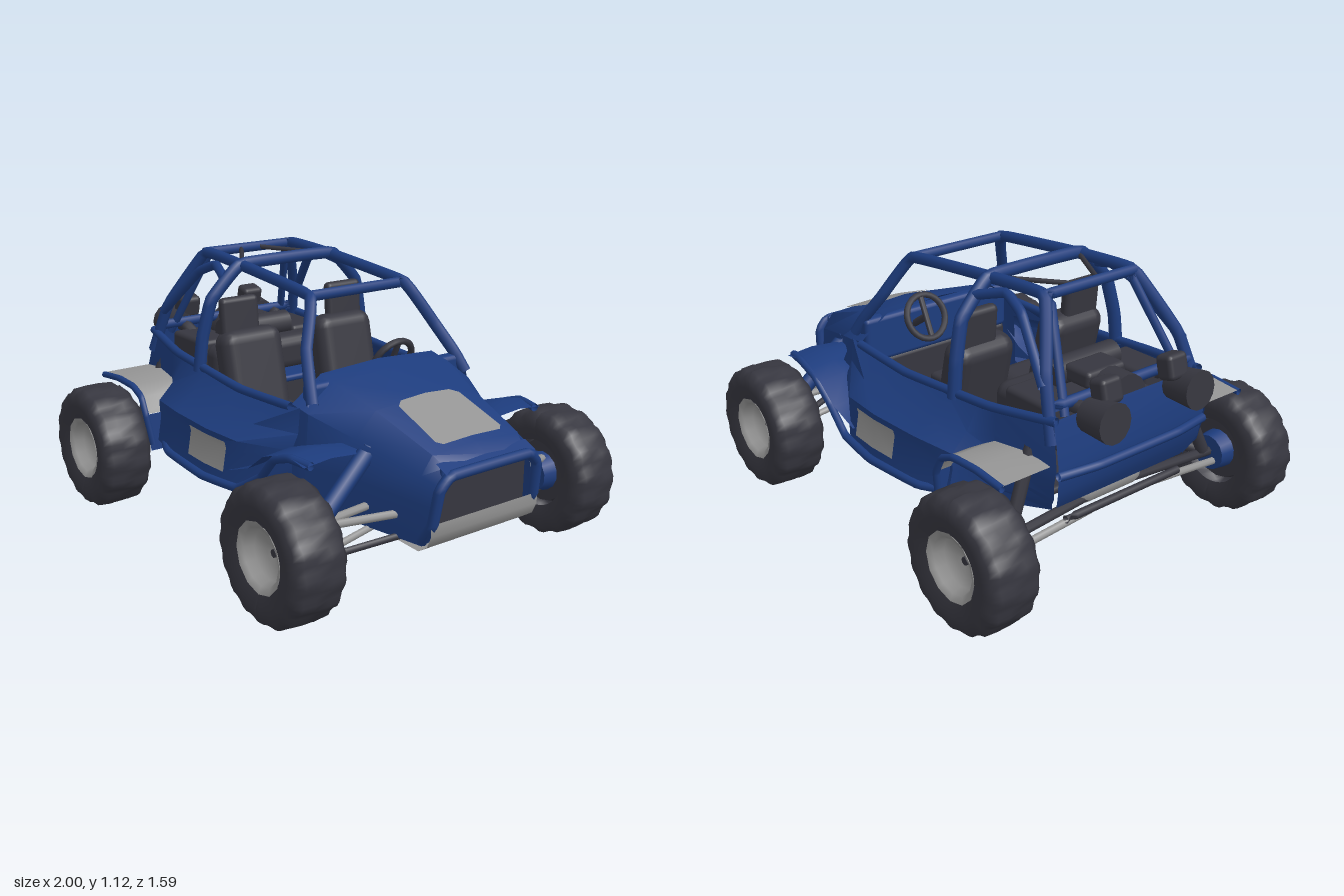
import * as THREE from 'three';
import { toCreasedNormals } from 'three/addons/utils/BufferGeometryUtils.js';
import { RoundedBoxGeometry } from 'three/addons/geometries/RoundedBoxGeometry.js';

const paint = (name, color) => new THREE.MeshStandardMaterial({ name, color, side: THREE.DoubleSide });

export function createModel() {
  const blue = paint('blue paint', 0x1d3c7d);
  const dark = paint('dark rubber', 0x36363f);
  const grey = paint('grey metal', 0x949494);
  const slate = paint('slate underside', 0x405a72);
  const buggy = new THREE.Group();
  buggy.name = 'buggy';
  const V = (p) => new THREE.Vector3(...p);
  const V2 = (p) => new THREE.Vector2(...p);

  function add(name, geometry, material, pos = [0, 0, 0], rot = [0, 0, 0], parent = buggy) {
    const mesh = new THREE.Mesh(geometry, material);
    mesh.name = name;
    mesh.position.set(...pos);
    mesh.rotation.set(...rot);
    parent.add(mesh);
    return mesh;
  }
  const box = (name, size, pos, material, rot, r = 0.02) =>
    add(name, new RoundedBoxGeometry(...size, 2, Math.min(r, Math.min(...size) * 0.45)), material, pos, rot);

  // pipe through points with tight bends
  function pipe(name, points, r, material) {
    const curve = new THREE.CatmullRomCurve3(points.map(V), false, 'catmullrom', 0.12);
    return add(name, new THREE.TubeGeometry(curve, points.length * 6, r, 8), material);
  }

  // skin over cross-sections, each a list of [x, y, z]
  function loft(name, sections, material, crease = 0.7) {
    const n = sections[0].length, index = [];
    for (let i = 0; i < sections.length - 1; i++)
      for (let j = 0; j < n - 1; j++) {
        const a = i * n + j, b = a + n;
        index.push(a, b, a + 1, b, b + 1, a + 1);
      }
    const g = new THREE.BufferGeometry();
    g.setAttribute('position', new THREE.Float32BufferAttribute(sections.flat(2), 3));
    g.setIndex(index);
    g.computeVertexNormals();
    return add(name, toCreasedNormals(g, crease), material);
  }

  // floor pan, narrowing to the nose
  const pan = new THREE.Shape([[-0.5, 0.45], [0.4, 0.45], [0.6, 0.33], [0.6, -0.33], [0.4, -0.45], [-0.5, -0.45]].map(V2));
  add('floorPan', new THREE.ExtrudeGeometry(pan, { depth: 0.02, bevelEnabled: false }), slate, [0, 0.288, 0], [Math.PI / 2, -0.022, 0]);
  box('cabinFloor', [0.84, 0.02, 0.86], [-0.05, 0.315, 0], dark);
  box('centreTunnel', [0.75, 0.12, 0.12], [-0.02, 0.38, 0], dark);
  box('footWell', [0.04, 0.26, 0.78], [0.39, 0.43, 0], dark);
  box('dashboard', [0.06, 0.2, 0.76], [0.38, 0.66, 0], blue);
  box('cabinBackWall', [0.03, 0.32, 0.82], [-0.46, 0.47, 0], dark);
  box('rearShelf', [0.14, 0.03, 0.34], [-0.34, 0.56, 0], blue);
  box('engineTray', [0.3, 0.03, 0.76], [-0.63, 0.43, 0], dark);

  // hood and nose
  const hood = [
    [0.34, [[0.79, 0], [0.775, 0.28], [0.68, 0.415], [0.45, 0.43], [0.28, 0.43]]],
    [0.43, [[0.775, 0], [0.755, 0.28], [0.66, 0.405], [0.45, 0.42], [0.27, 0.42]]],
    [0.62, [[0.708, 0], [0.692, 0.24], [0.6, 0.33], [0.45, 0.34], [0.27, 0.32]]],
    [0.9, [[0.606, 0], [0.596, 0.21], [0.53, 0.26], [0.42, 0.26], [0.26, 0.25]]],
    [0.95, [[0.572, 0], [0.56, 0.19], [0.5, 0.23], [0.42, 0.24], [0.3, 0.24]]],
  ];
  loft('hood', hood.map(([x, half]) => [
    ...half.slice(1).reverse().map(([y, z]) => [x, y, -z]),
    ...half.map(([y, z]) => [x, y, z])]), blue);
  loft('hoodPanel', [[0.62, 0.717, 0.709, 0.12], [0.645, 0.708, 0.699, 0.15], [0.86, 0.63, 0.623, 0.16], [0.88, 0.622, 0.617, 0.14]]
    .map(([x, c, e, z]) => [[x, e, -z], [x, c, 0], [x, e, z]]), grey);
  loft('noseBridge', [[0.93, 0.575], [0.985, 0.55]].map(([x, y]) => [[x, y, -0.22], [x, y, 0.22]]), blue);
  box('noseFascia', [0.02, 0.06, 0.42], [0.945, 0.535, 0], blue);
  box('grilleRecess', [0.02, 0.22, 0.46], [0.92, 0.42, 0], dark);
  loft('skidPlate', [[0.965, 0.365], [0.965, 0.32], [0.945, 0.275], [0.9, 0.245], [0.75, 0.25], [0.56, 0.272]].map(([x, y]) =>
    [[x, y, -0.265], [x, y, 0.265]]), grey, 1.2);
  pipe('frontBumper', [[0.9, 0.28, -0.25], [0.955, 0.36, -0.25], [0.975, 0.49, -0.24], [0.98, 0.54, -0.19],
    [0.98, 0.54, 0.19], [0.975, 0.49, 0.24], [0.955, 0.36, 0.25], [0.9, 0.28, 0.25]], 0.021, blue);

  // tail
  loft('tailPanel', [[-0.8, 0.73, 0.37], [-0.84, 0.56, 0.38], [-0.83, 0.45, 0.37], [-0.78, 0.36, 0.33]]
    .map(([x, y, z]) => [[x, y, -z], [x, y, z]]), blue);
  pipe('tailRail', [[-0.84, 0.53, -0.38], [-0.865, 0.53, -0.2], [-0.865, 0.53, 0.2], [-0.84, 0.53, 0.38]], 0.018, blue);

  // sections of one body side: x, then [y, z] points from sill top to floor
  const side = [
    [[-0.8, 0.73, 0.37], [-0.84, 0.56, 0.39], [-0.83, 0.5, 0.39], [-0.82, 0.43, 0.38], [-0.8, 0.4, 0.37], [-0.78, 0.36, 0.35]],
    [[-0.55, 0.7, 0.42], [-0.55, 0.6, 0.43], [-0.55, 0.53, 0.43], [-0.55, 0.46, 0.43], [-0.55, 0.38, 0.43], [-0.55, 0.32, 0.42]],
    [[-0.45, 0.69, 0.425], [-0.45, 0.59, 0.48], [-0.45, 0.52, 0.55], [-0.45, 0.45, 0.55], [-0.45, 0.35, 0.57], [-0.45, 0.29, 0.45]],
    [[-0.25, 0.68, 0.43], [-0.25, 0.59, 0.5], [-0.25, 0.525, 0.58], [-0.25, 0.48, 0.575], [-0.25, 0.35, 0.6], [-0.25, 0.285, 0.46]],
    [[0, 0.66, 0.43], [0, 0.58, 0.51], [0, 0.525, 0.59], [0, 0.48, 0.58], [0, 0.34, 0.605], [0, 0.28, 0.46]],
    [[0.2, 0.65, 0.43], [0.2, 0.58, 0.5], [0.2, 0.525, 0.575], [0.2, 0.48, 0.57], [0.2, 0.35, 0.58], [0.2, 0.27, 0.46]],
    [[0.4, 0.68, 0.42], [0.4, 0.58, 0.43], [0.4, 0.52, 0.46], [0.4, 0.47, 0.46], [0.4, 0.36, 0.46], [0.4, 0.265, 0.45]],
  ];

  // tyre with blocky tread, turned about z
  const tyre = new THREE.LatheGeometry([[0.14, -0.095], [0.19, -0.112], [0.235, -0.107], [0.258, -0.08], [0.262, -0.03],
    [0.262, 0.03], [0.258, 0.08], [0.235, 0.107], [0.19, 0.112], [0.13, 0.095]].map(V2), 64);
  const tp = tyre.attributes.position;
  for (let i = 0; i < tp.count; i++) {
    const x = tp.getX(i), y = tp.getY(i), z = tp.getZ(i), r = Math.hypot(x, z);
    if (r < 0.22) continue;
    const k = 1 + 0.018 * Math.sign(Math.sin(Math.atan2(z, x) * 16 + 0.1 + y * 16));
    tp.setXYZ(i, x * k, y, z * k);
  }
  tyre.computeVertexNormals();
  const rim = new THREE.LatheGeometry([[0, 0.02], [0.05, 0.03], [0.098, 0.05], [0.11, 0.088], [0.137, 0.1]].map(V2), 12);

  for (const s of [1, -1]) {
    const m = (pts) => pts.map(([x, y, z]) => [x, y, z * s]);
    const tag = s > 0 ? 'Near' : 'Far';

    // wheels
    for (const [end, x] of [['rear', -0.735], ['front', 0.655]]) {
      const wheel = new THREE.Group();
      wheel.name = end + 'Wheel' + tag;
      wheel.position.set(x, 0.272, 0.685 * s);
      wheel.rotation.x = s * Math.PI / 2;
      buggy.add(wheel);
      add('tyre', tyre, dark, undefined, undefined, wheel);
      add('rim', rim, grey, undefined, undefined, wheel);
      add('hub', new THREE.CylinderGeometry(0.016, 0.016, 0.03, 8), dark, [0, 0.02, 0], undefined, wheel);
      add('innerRim', new THREE.CylinderGeometry(0.14, 0.13, 0.03, 16), dark, [0, -0.04, 0], undefined, wheel);
      add('brakeDrum', new THREE.CylinderGeometry(0.085, 0.075, 0.08, 14), blue, [0, -0.08, 0], undefined, wheel);
    }

    // body sides, grey side plate, sill tubes
    loft('bodySide' + tag, side.map(m), blue);
    loft('sidePlate' + tag, [[-0.13, 0.584, 0.601], [0, 0.588, 0.606], [0.13, 0.58, 0.597]]
      .map(([x, a, b]) => m([[x, 0.505, a + 0.006], [x, 0.48, a], [x, 0.385, b]])), grey);
    pipe('sillTube' + tag, m([[-0.48, 0.36, 0.52], [-0.3, 0.345, 0.6], [0, 0.335, 0.615], [0.22, 0.345, 0.59],
      [0.36, 0.43, 0.57], [0.46, 0.53, 0.58], [0.56, 0.565, 0.58], [0.66, 0.56, 0.56]]), 0.017, blue);
    pipe('beltTube' + tag, m([[-0.81, 0.73, 0.37], [-0.5, 0.695, 0.42], [0, 0.66, 0.43], [0.34, 0.67, 0.42]]), 0.018, blue);

    // fenders: strips swept across the width
    loft('frontFender' + tag, [[0.16, 0.4], [0.3, 0.45], [0.4, 0.525], [0.48, 0.555], [0.57, 0.575], [0.66, 0.56]]
      .map(([x, y]) => m([[x, y, x > 0.5 ? 0.33 : 0.42], [x, y + 0.012, 0.47], [x, y, 0.59]])), blue);
    loft('rearFender' + tag, [[-0.445, 0.47], [-0.48, 0.54], [-0.55, 0.575], [-0.68, 0.585], [-0.82, 0.57]]
      .map(([x, y]) => m([[x, y, 0.4], [x, y, 0.615]])), grey);
    loft('rearFenderFront' + tag, [[-0.43, 0.31], [-0.44, 0.47]].map(([x, y]) => m([[x, y, 0.42], [x, y, 0.61]])), blue);
    pipe('rearFenderEdge' + tag, m([[-0.43, 0.34, 0.6], [-0.445, 0.47, 0.62], [-0.48, 0.54, 0.62], [-0.55, 0.57, 0.62],
      [-0.68, 0.575, 0.62], [-0.82, 0.56, 0.62]]), 0.014, blue);

    // roll cage
    pipe('roofRail' + tag, m([[0.43, 0.69, 0.385], [0.385, 0.765, 0.365], [0.31, 0.87, 0.325], [0.21, 1.045, 0.235],
      [-0.28, 1.09, 0.23], [-0.58, 1.1, 0.225], [-0.72, 0.86, 0.34], [-0.8, 0.64, 0.38]]), 0.024, blue);
    pipe('cageBrace' + tag, m([[-0.29, 1.04, 0.31], [-0.42, 1.075, 0.27], [-0.53, 1.03, 0.29], [-0.73, 0.83, 0.36]]), 0.02, blue);
    pipe('rearBrace' + tag, m([[-0.58, 1.1, 0.2], [-0.78, 0.72, 0.3]]), 0.017, blue);
    pipe('roofStrut' + tag, m([[-0.58, 1.1, 0.04], [-0.29, 1.09, 0.22]]), 0.01, dark);

    // seats
    const z = 0.24 * s;
    box('seatCushion' + tag, [0.34, 0.14, 0.3], [-0.05, 0.42, z], dark, [0, 0, 0.12], 0.06);
    box('seatBack' + tag, [0.14, 0.44, 0.29], [-0.19, 0.62, z], dark, [0, 0, 0.22], 0.06);
    box('headRest' + tag, [0.05, 0.22, 0.18], [-0.245, 0.86, 0.27 * s], dark, [0, 0, 0.08], 0.022);

    // front suspension
    for (const [x, lower] of [[0.66, grey], [0.8, dark]]) {
      pipe('lowerArm' + tag, m([[x, 0.27, 0.24], [0.68, 0.21, 0.6]]), 0.014, lower);
      pipe('upperArm' + tag, m([[x, 0.355, 0.24], [0.68, 0.34, 0.6]]), 0.016, grey);
    }
    pipe('frontShock' + tag, m([[0.66, 0.57, 0.3], [0.68, 0.36, 0.53]]), 0.035, blue);
    pipe('shockRod' + tag, m([[0.68, 0.37, 0.52], [0.69, 0.26, 0.6]]), 0.018, dark);

    // rear suspension
    pipe('trailingArm' + tag, m([[-0.46, 0.32, 0.4], [-0.72, 0.26, 0.58]]), 0.022, dark);
    pipe('rearLink' + tag, m([[-0.8, 0.31, 0.14], [-0.76, 0.24, 0.58]]), 0.016, grey);
    pipe('driveShaft' + tag, m([[-0.72, 0.31, 0.08], [-0.735, 0.275, 0.62]]), 0.02, dark);
    pipe('rearShock' + tag, m([[-0.7, 0.62, 0.38], [-0.74, 0.3, 0.52]]), 0.026, dark);

    // exhaust cans and engine side covers
    add('exhaustCan' + tag, new THREE.CylinderGeometry(0.078, 0.065, 0.13, 14), dark, [-0.885, 0.725, 0.22 * s], [0, 0, 1.5]);
    pipe('exhaustPipe' + tag, m([[-0.84, 0.73, 0.22], [-0.74, 0.74, 0.24], [-0.64, 0.66, 0.2]]), 0.028, dark);
    box('cylinderHead' + tag, [0.26, 0.15, 0.16], [-0.6, 0.66, 0.24 * s], dark);
    box('airBox' + tag, [0.08, 0.1, 0.1], [-0.85, 0.81, 0.17 * s], dark, [0, 0, -0.25]);
  }

  // cross members of the cage
  pipe('mainHoop', [[-0.31, 0.66, -0.43], [-0.305, 0.8, -0.415], [-0.29, 0.96, -0.375], [-0.28, 1.095, -0.235],
    [-0.28, 1.095, 0.235], [-0.29, 0.96, 0.375], [-0.305, 0.8, 0.415], [-0.31, 0.66, 0.43]], 0.027, blue);
  for (const [name, x, y, z] of [['windscreenBar', 0.21, 1.045, 0.235], ['rearRoofBar', -0.58, 1.1, 0.23],
    ['rearLowerBar', -0.76, 0.76, 0.36]])
    pipe(name, [[x, y, -z], [x, y, z]], 0.022, blue);

  // engine and gearbox
  box('engineBlock', [0.3, 0.24, 0.34], [-0.66, 0.58, 0], dark);
  add('intakeDrum', new THREE.CylinderGeometry(0.055, 0.055, 0.34, 14), dark, [-0.52, 0.75, 0.02], [Math.PI / 2, 0, 0]);
  box('fuelTank', [0.13, 0.16, 0.6], [-0.44, 0.64, 0], dark, undefined, 0.05);
  add('fanHousing', new THREE.CylinderGeometry(0.1, 0.1, 0.1, 16), dark, [-0.74, 0.7, 0], [0, 0, Math.PI / 2]);
  box('carburettor', [0.14, 0.07, 0.2], [-0.62, 0.76, 0], dark);
  box('gearbox', [0.26, 0.14, 0.36], [-0.62, 0.34, 0], grey, undefined, 0.06);
  pipe('rearCrossTube', [[-0.8, 0.31, -0.3], [-0.8, 0.31, 0.3]], 0.016, dark);

  // steering
  const steering = new THREE.TorusGeometry(0.095, 0.014, 8, 24).rotateY(Math.PI / 2);
  add('steeringWheel', steering, dark, [0.27, 0.745, -0.13], [0, 0, -0.45]);
  pipe('steeringColumn', [[0.27, 0.745, -0.13], [0.37, 0.68, -0.13]], 0.016, dark);
  box('steeringSpoke', [0.02, 0.18, 0.025], [0.27, 0.745, -0.13], dark, [0, 0, -0.45]);
  pipe('gearLever', [[0.05, 0.42, 0], [0.02, 0.6, 0]], 0.012, dark);

  return buggy;
}
